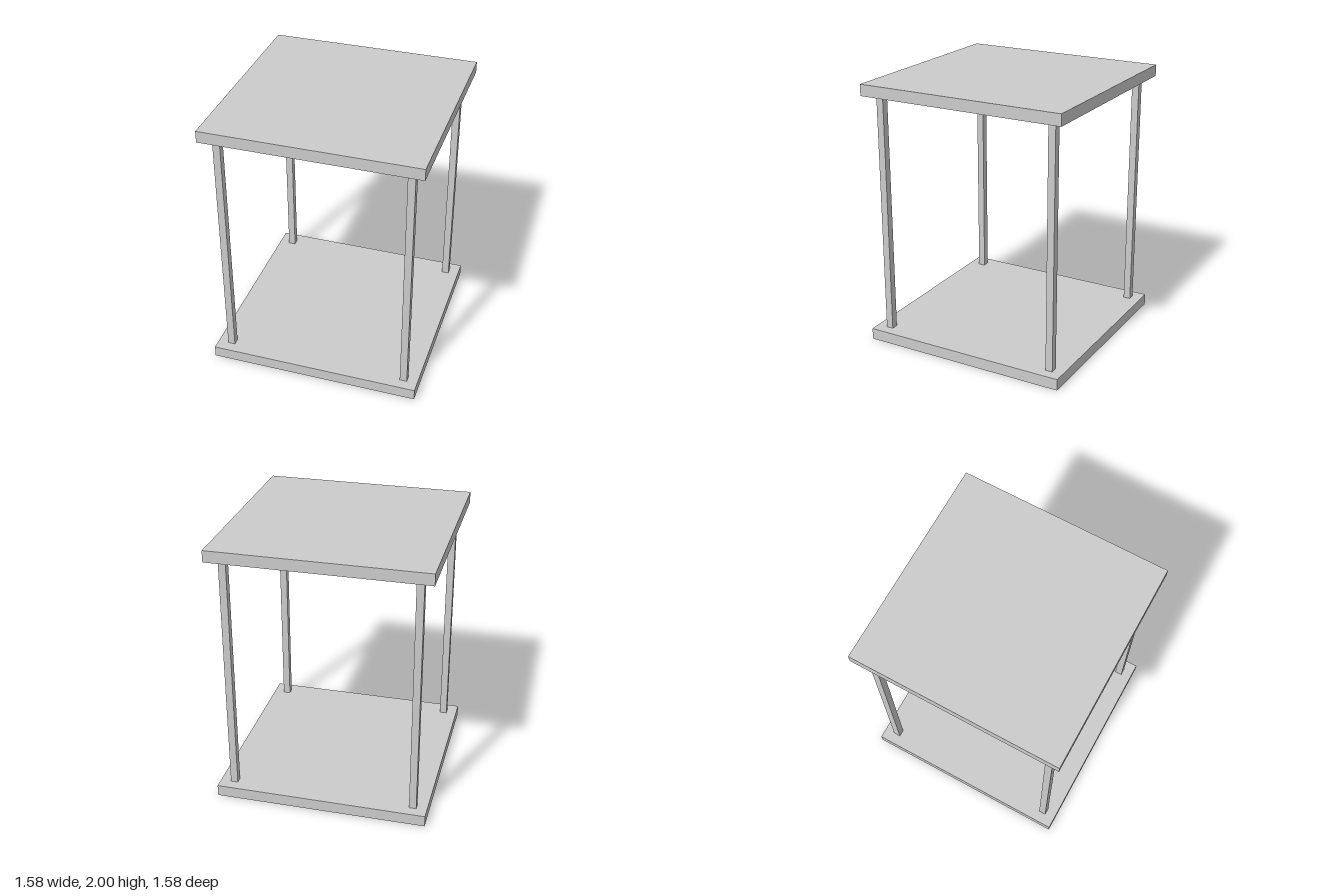
import * as THREE from 'three';

const WIDTH = 1.584, THICK = 0.086, HEIGHT = 2;
const POST = 0.054, POST_OFFSET = 0.686;

export function createModel() {
  const model = new THREE.Group();
  model.name = 'openFrameStand';
  const material = new THREE.MeshStandardMaterial({ color: 0xcccccc });

  const addBox = (name, w, h, d, x, y, z) => {
    const mesh = new THREE.Mesh(new THREE.BoxGeometry(w, h, d), material);
    mesh.name = name;
    mesh.position.set(x, y, z);
    model.add(mesh);
  };

  // Square base and top slabs
  addBox('basePlate', WIDTH, THICK, WIDTH, 0, THICK / 2, 0);
  addBox('topPlate', WIDTH, THICK, WIDTH, 0, HEIGHT - THICK / 2, 0);

  // Four square corner posts between the slabs
  const postHeight = HEIGHT - 2 * THICK;
  for (const [side, sx] of [['Left', 1], ['Right', -1]]) {
    for (const [end, sz] of [['front', 1], ['back', -1]]) {
      addBox(`${end}${side}Post`, POST, postHeight, POST, sx * POST_OFFSET, HEIGHT / 2, sz * POST_OFFSET);
    }
  }

  return model;
}
